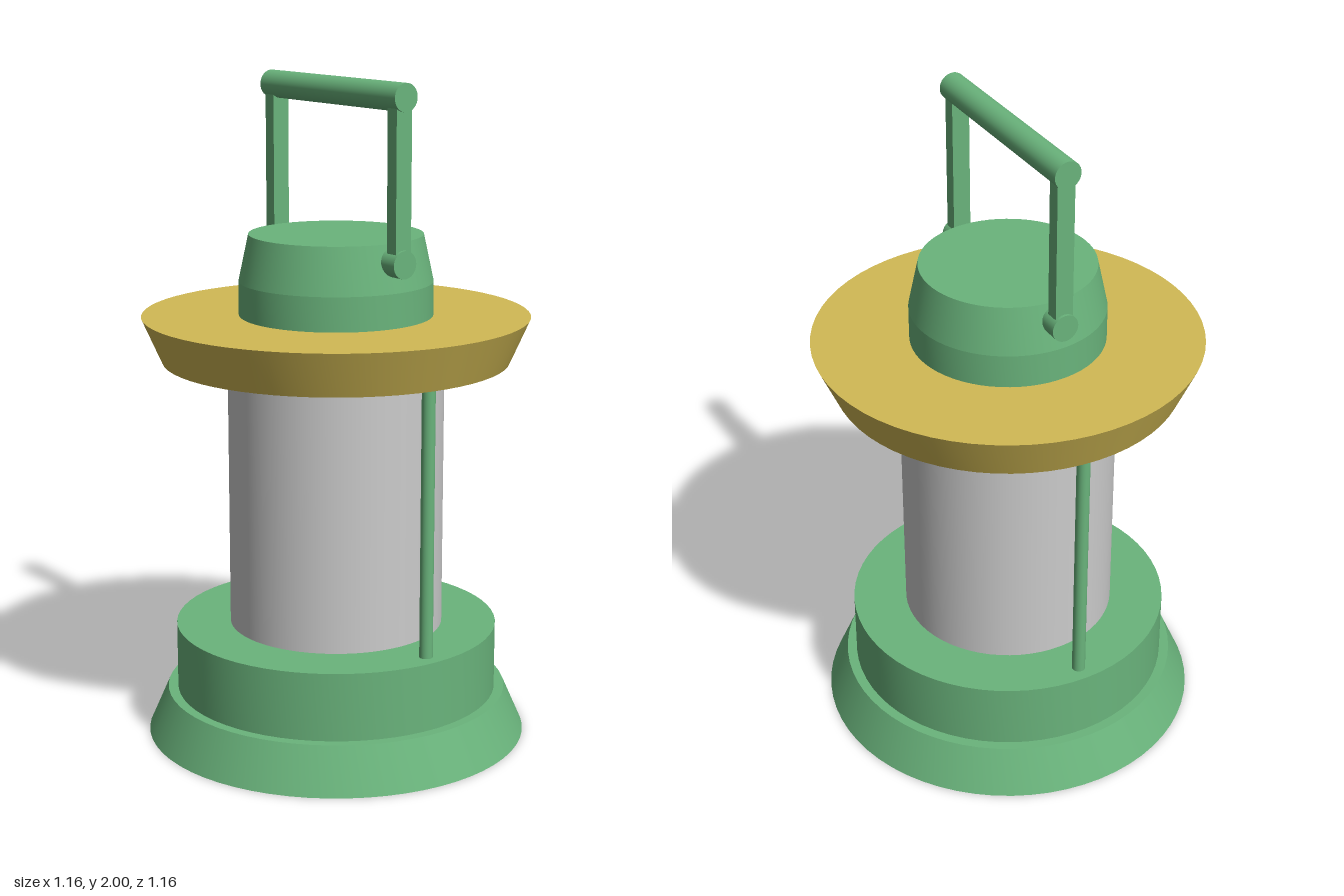
import * as THREE from 'three';
import { toCreasedNormals } from 'three/addons/utils/BufferGeometryUtils.js';

const SEGMENTS = 64;

export function createModel() {
  const lantern = new THREE.Group();
  lantern.name = 'lantern';

  const green = new THREE.MeshStandardMaterial({ color: 0x6ab47c });
  const yellow = new THREE.MeshStandardMaterial({ color: 0xd2ba55 });
  const grey = new THREE.MeshStandardMaterial({ color: 0xcccccc });

  const add = (name, geometry, material, x = 0, y = 0, z = 0) => {
    const mesh = new THREE.Mesh(geometry, material);
    mesh.name = name;
    mesh.position.set(x, y, z);
    lantern.add(mesh);
    return mesh;
  };

  // Solid of revolution from [radius, height] points, with crisp edges
  const turned = (points) => toCreasedNormals(
    new THREE.LatheGeometry(points.map(([r, y]) => new THREE.Vector2(r, y)), SEGMENTS), 0.2);

  // Cylinder lying along x
  const crossBar = (radius, length) =>
    new THREE.CylinderGeometry(radius, radius, length, 32).rotateZ(Math.PI / 2);

  // Stepped base with flared foot
  add('base', turned([[0, 0], [0.58, 0], [0.52, 0.137], [0.49, 0.137], [0.49, 0.343], [0, 0.343]]), green);

  // Lamp cylinder
  add('lampGlass', new THREE.CylinderGeometry(0.325, 0.325, 0.822, SEGMENTS), grey, 0, 0.753);

  // Flared brim and tapered cap
  add('brim', turned([[0, 1.162], [0.52, 1.162], [0.58, 1.298], [0, 1.298]]), yellow);
  add('cap', turned([[0, 1.298], [0.29, 1.298], [0.29, 1.4], [0.26, 1.54], [0, 1.54]]), green);

  // Side rods, handle pivots and handle uprights, mirrored
  for (const [side, sign] of [['left', 1], ['right', -1]]) {
    add(`${side}Rod`, new THREE.CylinderGeometry(0.02, 0.02, 0.822, 24), green, sign * 0.437, 0.753);
    add(`${side}Pivot`, crossBar(0.041, 0.075), green, sign * 0.288, 1.487);
    add(`${side}Upright`, new THREE.BoxGeometry(0.041, 0.473, 0.055), green, sign * 0.297, 1.7235);
  }

  // Handle grip
  add('handleGrip', crossBar(0.041, 0.65), green, 0, 1.959);

  return lantern;
}
